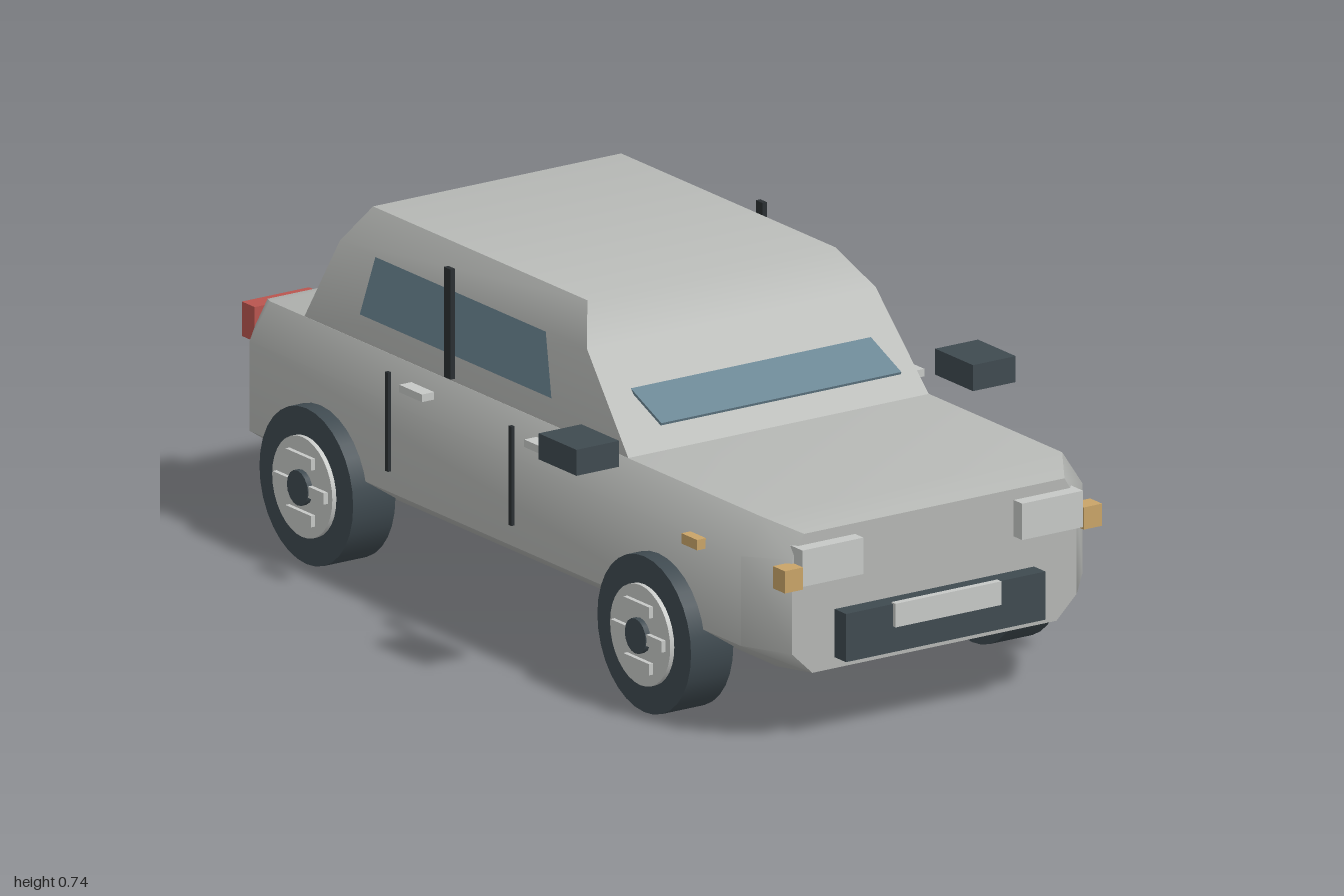
import * as THREE from 'three';
import { toCreasedNormals } from 'three/addons/utils/BufferGeometryUtils.js';

const mat = (name, color, extra = {}) => {
  const m = new THREE.MeshStandardMaterial({ color, ...extra });
  m.name = name;
  return m;
};

// Skin a stack of equal-length rings and cap both ends
function loft(rings, crease = 0.85) {
  const n = rings[0].length, idx = [];
  for (let i = 0; i < rings.length - 1; i++) {
    for (let j = 0; j < n; j++) {
      const a = i * n + j, b = i * n + (j + 1) % n;
      idx.push(a, b, b + n, a, b + n, a + n);
    }
  }
  const last = (rings.length - 1) * n;
  for (let j = 1; j < n - 1; j++) {
    idx.push(0, j + 1, j, last, last + j, last + j + 1);
  }
  const g = new THREE.BufferGeometry();
  g.setAttribute('position', new THREE.Float32BufferAttribute(rings.flat(2), 3));
  g.setIndex(idx);
  return toCreasedNormals(g, crease);
}

export function createModel() {
  const car = new THREE.Group();
  car.name = 'car';
  const paint = mat('body paint', 0xb4b6b3);
  const chrome = mat('light metal', 0xc6c8c6);
  const dark = mat('dark trim', 0x3f4a50);
  const black = mat('black strip', 0x2a2f32);
  const glass = mat('window glass', 0x6c8795, { side: THREE.DoubleSide });
  const amber = mat('amber lamp', 0xc9a468);
  const red = mat('red lamp', 0xb9554f);

  const add = (name, geo, m, parent = car) => {
    const mesh = new THREE.Mesh(geo, m);
    mesh.name = name;
    parent.add(mesh);
    return mesh;
  };
  // Box given by its limits on each axis
  const box = (name, m, x0, x1, y0, y1, z0, z1, parent = car) => {
    const b = add(name, new THREE.BoxGeometry(Math.abs(x1 - x0), y1 - y0, z1 - z0), m, parent);
    b.position.set((x0 + x1) / 2, (y0 + y1) / 2, (z0 + z1) / 2);
    return b;
  };

  // Lower body: chamfered section, pinched at nose and tail
  const section = (z, pts) => [
    ...pts.map(([x, y]) => [x, y, z]),
    ...pts.slice().reverse().map(([x, y]) => [-x, y, z]),
  ];
  const full = [[0.33, 0.15], [0.42, 0.21], [0.42, 0.4], [0.37, 0.475]];
  const end = [[0.3, 0.152], [0.35, 0.2], [0.35, 0.4], [0.32, 0.45]];
  add('body', loft([section(-0.94, end), section(-0.86, full),
    section(0.87, full), section(0.95, end)]), paint);

  // Cabin: half width, front and back at rising heights
  const level = ([y, x, front, back]) =>
    [[x, y, front], [x, y, back], [-x, y, back], [-x, y, front]];
  add('cabin', loft([
    [0.465, 0.37, 0.41, -0.745],
    [0.66, 0.355, 0.235, -0.635],
    [0.735, 0.305, 0.165, -0.59],
  ].map(level), 0.95), paint);

  // Windscreen and rear window plates
  const screen = (name, zTop, yTop, zLow, yLow) => {
    const p = add(name, new THREE.BoxGeometry(0.59, 0.006, Math.hypot(zTop - zLow, yTop - yLow)), glass);
    p.position.set(0, (yTop + yLow) / 2, (zTop + zLow) / 2);
    p.rotation.x = Math.atan((yTop - yLow) / (zLow - zTop));
  };
  screen('windscreen', 0.21, 0.62, 0.41, 0.535);
  screen('rearWindow', -0.65, 0.615, -0.74, 0.53);

  // Wheel, axle along x with the outer face at +x
  const disc = (name, r, x0, x1, m, parent, sides = 32) => {
    const g = new THREE.CylinderGeometry(r, r, x1 - x0, sides).rotateZ(-Math.PI / 2);
    add(name, g, m, parent).position.x = (x0 + x1) / 2;
  };
  const makeWheel = (side, z, name) => {
    const w = new THREE.Group();
    w.name = name;
    w.position.set(side * 0.403, 0.165, z);
    w.rotation.y = side > 0 ? 0 : Math.PI;
    disc('tyre', 0.165, -0.052, 0.052, dark, w);
    disc('rim', 0.106, -0.066, 0.062, chrome, w);
    disc('hubCap', 0.037, -0.07, 0.074, dark, w, 16);
    for (const y of [-0.06, 0, 0.06]) {
      const len = y ? 0.045 : 0.09;
      box('rimBar', chrome, 0.06, 0.072, y - 0.012, y + 0.012, -len, len, w);
    }
    car.add(w);
  };

  for (const s of [1, -1]) {
    const tag = s > 0 ? 'left' : 'right';
    makeWheel(s, 0.58, tag + 'FrontWheel');
    makeWheel(s, -0.61, tag + 'RearWheel');

    // Side window laid on the sloping cabin wall
    const corners = [[0.13, 0.53], [-0.545, 0.53], [-0.505, 0.66], [0.095, 0.66]];
    const pos = corners.flatMap(([z, y]) => [s * (0.369 - (y - 0.53) * 0.081), y, z]);
    const win = new THREE.BufferGeometry();
    win.setAttribute('position', new THREE.Float32BufferAttribute(pos, 3));
    win.setIndex(s > 0 ? [0, 1, 2, 0, 2, 3] : [0, 2, 1, 0, 3, 2]);
    win.computeVertexNormals();
    add(tag + 'SideWindow', win, glass);

    // Side fittings
    box(tag + 'WindowPillar', black, s * 0.378, s * 0.389, 0.487, 0.72, -0.22, -0.197);
    box(tag + 'Mirror', dark, s * 0.435, s * 0.54, 0.485, 0.54, 0.33, 0.463);
    for (const z of [0.08, -0.355]) {
      box(tag + 'DoorGap', black, s * 0.428, s * 0.436, 0.26, 0.47, z - 0.005, z + 0.005);
    }
    for (const z of [0.21, -0.23]) {
      box(tag + 'DoorHandle', chrome, s * 0.434, s * 0.464, 0.455, 0.471, z - 0.04, z + 0.04);
    }
    box(tag + 'SideMarker', amber, s * 0.418, s * 0.44, 0.383, 0.405, 0.69, 0.745);

    // Lamps
    box(tag + 'Headlight', chrome, s * 0.195, s * 0.345, 0.35, 0.427, 0.93, 0.98);
    box(tag + 'Indicator', amber, s * 0.345, s * 0.39, 0.345, 0.392, 0.94, 0.982);
    box(tag + 'TailLight', red, s * 0.19, s * 0.355, 0.367, 0.44, -0.98, -0.935);
  }

  // Bumpers with plain plates
  box('frontBumper', dark, -0.245, 0.245, 0.175, 0.277, 0.94, 0.99);
  box('frontPlate', chrome, -0.13, 0.13, 0.23, 0.28, 0.985, 1);
  box('rearBumper', dark, -0.24, 0.24, 0.175, 0.277, -0.99, -0.93);
  box('rearPlate', chrome, -0.125, 0.125, 0.23, 0.28, -1, -0.985);
  return car;
}
